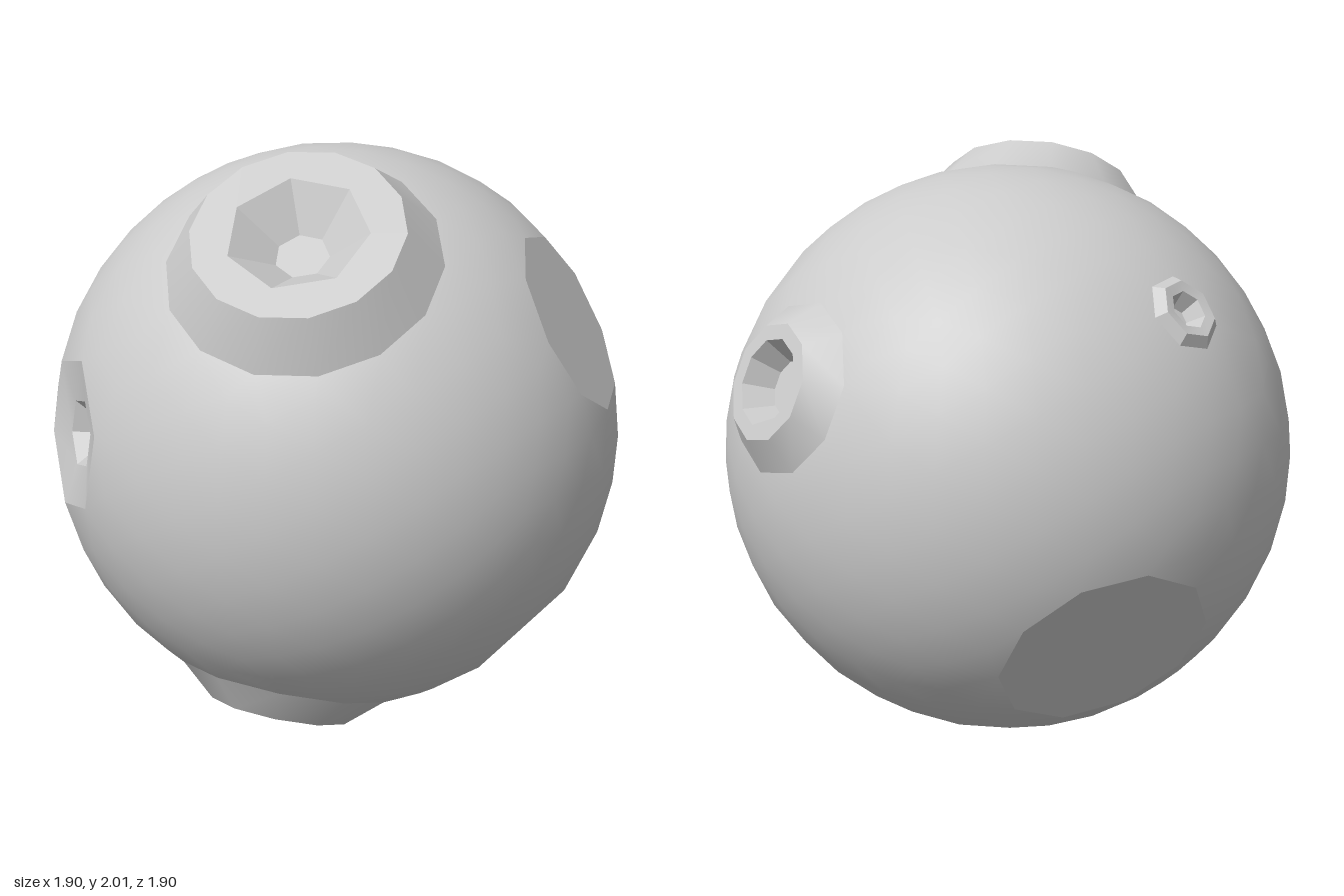
import * as THREE from 'three';
import { ConvexGeometry } from 'three/addons/geometries/ConvexGeometry.js';
import { toCreasedNormals } from 'three/addons/utils/BufferGeometryUtils.js';

const R = 0.955;
const UP = new THREE.Vector3(0, 1, 0);

// Each feature: axis direction, then rings [radius, distance from centre, sides].
// The first ring lies on the sphere; the last ring is closed by a flat floor.
const FEATURES = [
  { name: 'largeCrater', dir: [0.1, 0.82, 0.565], rings: [[0.43, 0, 14], [0.33, 1.0, 14], [0.22, 1.0, 7], [0.085, 0.89, 7]] },
  { name: 'lowerCrater', dir: [-0.06, -0.92, 0.38], rings: [[0.36, 0, 10], [0.24, 0.99, 10], [0.2, 0.99, 10], [0.13, 0.9, 10]] },
  { name: 'rearCrater', dir: [0.47, 0.36, -0.8], rings: [[0.28, 0, 10], [0.19, 1.0, 10], [0.14, 1.0, 10], [0.09, 0.91, 10]] },
  { name: 'smallCrater', dir: [-0.735, 0.6, -0.315], rings: [[0.13, 0, 7], [0.1, 0.975, 7], [0.065, 0.97, 7], [0.04, 0.91, 7]] },
  { name: 'shallowPit', dir: [-0.72, 0.1, 0.67], rings: [[0.27, 0, 6], [0.12, 0.89, 6], [0.06, 0.83, 6]] },
  { name: 'sideFacet', dir: [0.868, 0.49, -0.065], rings: [[0.31, 0, 9]] },
  { name: 'lowerSideFacet', dir: [0.76, -0.63, 0.13], rings: [[0.2, 0, 6]] },
  { name: 'lowerRearFacet', dir: [-0.6, -0.52, -0.6], rings: [[0.35, 0, 10]] },
];

// Points of every ring; rings with fewer sides repeat points to match the first
function ringPoints(f) {
  const n = f.rings[0][2];
  const turn = new THREE.Quaternion().setFromUnitVectors(UP, f.axis);
  return f.rings.map(([r, d, sides], k) => {
    const height = k === 0 ? f.base : d;
    return Array.from({ length: n }, (_, i) => {
      const a = (Math.floor((i * sides) / n) / sides) * Math.PI * 2;
      return new THREE.Vector3(r * Math.sin(a), height, r * Math.cos(a)).applyQuaternion(turn);
    });
  });
}

// Loft through the rings and close the floor
function featureGeometry(rings) {
  const n = rings[0].length;
  const pts = [];
  const tri = (a, b, c) => {
    if (a.distanceTo(b) > 1e-6 && b.distanceTo(c) > 1e-6 && c.distanceTo(a) > 1e-6) pts.push(a, b, c);
  };
  for (let i = 0; i < n; i++) {
    const j = (i + 1) % n;
    for (let k = 0; k + 1 < rings.length; k++) {
      const lo = rings[k], hi = rings[k + 1];
      tri(lo[i], lo[j], hi[j]);
      tri(lo[i], hi[j], hi[i]);
    }
    const floor = rings[rings.length - 1];
    if (i > 0 && i < n - 1) tri(floor[0], floor[i], floor[j]);
  }
  return toCreasedNormals(new THREE.BufferGeometry().setFromPoints(pts), 0.5);
}

// Sphere as a hull through its points and the base rings, open at each feature
function bodyGeometry(features) {
  const points = features.flatMap((f) => f.points[0].map((p) => p.clone()));
  const ico = new THREE.IcosahedronGeometry(R, 6).attributes.position;
  const seen = new Set();
  for (let i = 0; i < ico.count; i++) {
    const p = new THREE.Vector3().fromBufferAttribute(ico, i);
    const key = p.toArray().map((v) => Math.round(v * 1000)).join();
    if (seen.has(key) || features.some((f) => p.dot(f.axis) > f.base - 0.02)) continue;
    seen.add(key);
    points.push(p);
  }
  const hull = new ConvexGeometry(points).attributes.position;
  const kept = [];
  for (let i = 0; i < hull.count; i += 3) {
    const t = [0, 1, 2].map((k) => new THREE.Vector3().fromBufferAttribute(hull, i + k));
    if (!features.some((f) => t.every((p) => p.dot(f.axis) > f.base - 1e-3))) kept.push(...t);
  }
  const geo = new THREE.BufferGeometry().setFromPoints(kept);
  const normals = kept.flatMap((p) => p.clone().normalize().toArray());
  geo.setAttribute('normal', new THREE.Float32BufferAttribute(normals, 3));
  return geo;
}

export function createModel() {
  const group = new THREE.Group();
  group.name = 'asteroid';
  const material = new THREE.MeshStandardMaterial({ color: 0xcccccc });
  const add = (name, geo) => {
    const mesh = new THREE.Mesh(geo, material);
    mesh.name = name;
    mesh.position.y = 1;
    group.add(mesh);
  };

  const features = FEATURES.map((f) => {
    const r = f.rings[0][0];
    const g = { ...f, axis: new THREE.Vector3(...f.dir).normalize(), base: Math.sqrt(R * R - r * r) };
    g.points = ringPoints(g);
    return g;
  });

  add('body', bodyGeometry(features));
  // Craters, pit and flat facets
  for (const f of features) add(f.name, featureGeometry(f.points));
  return group;
}
